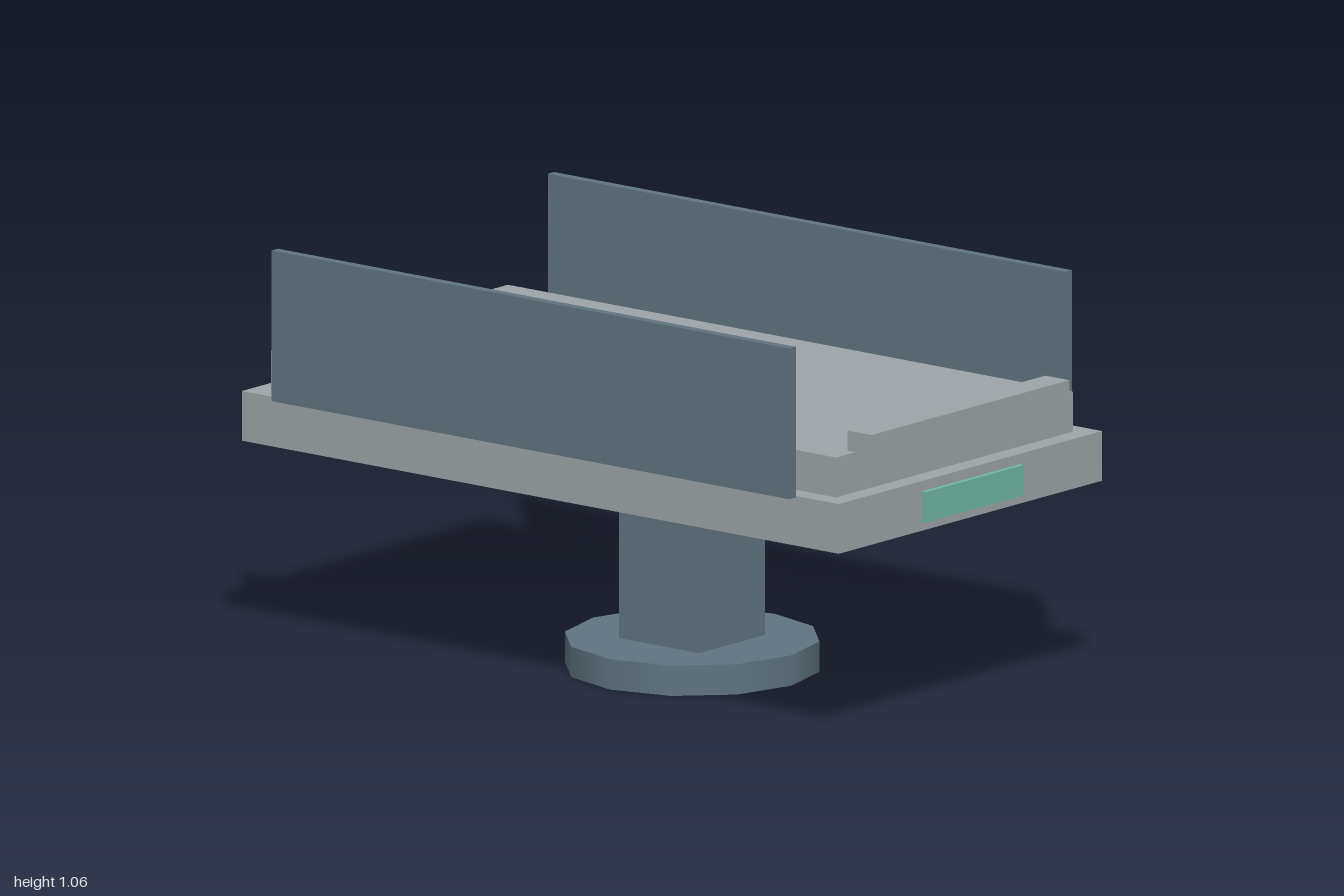
import * as THREE from 'three';

const material = (name, color) => {
  const m = new THREE.MeshStandardMaterial({ color });
  m.name = name;
  return m;
};

export function createModel() {
  const model = new THREE.Group();
  model.name = 'table';
  const grey = material('light grey', 0x9ea5a8);
  const slate = material('slate blue', 0x607480);
  const green = material('sea green', 0x6fb8a4);

  // Box given by its [min, max] range on each axis
  const box = (name, mat, [x0, x1], [y0, y1], [z0, z1]) => {
    const mesh = new THREE.Mesh(new THREE.BoxGeometry(x1 - x0, y1 - y0, z1 - z0), mat);
    mesh.position.set((x0 + x1) / 2, (y0 + y1) / 2, (z0 + z1) / 2);
    mesh.name = name;
    model.add(mesh);
  };

  // Pedestal: twelve-sided foot and square column
  const foot = new THREE.Mesh(new THREE.CylinderGeometry(0.331, 0.331, 0.08, 12), slate);
  foot.position.set(0, 0.04, 0.06);
  foot.name = 'foot';
  model.add(foot);
  box('column', slate, [-0.133, 0.133], [0.08, 0.533], [-0.073, 0.193]);

  // Table: deck, raised pad and front bar
  box('deck', grey, [-0.53, 0.53], [0.533, 0.664], [-1, 0.986]);
  box('pad', grey, [-0.477, 0.477], [0.664, 0.769], [-0.947, 0.933]);
  box('frontBar', grey, [-0.398, 0.398], [0.769, 0.822], [0.906, 0.986]);

  // Control panel on the front edge
  box('controlPanel', green, [-0.198, 0.198], [0.557, 0.637], [0.986, 1]);

  // Side rails
  box('leftRail', slate, [0.543, 0.569], [0.664, 1.061], [-0.869, 0.854]);
  box('rightRail', slate, [-0.569, -0.543], [0.664, 1.061], [-0.869, 0.854]);

  return model;
}
